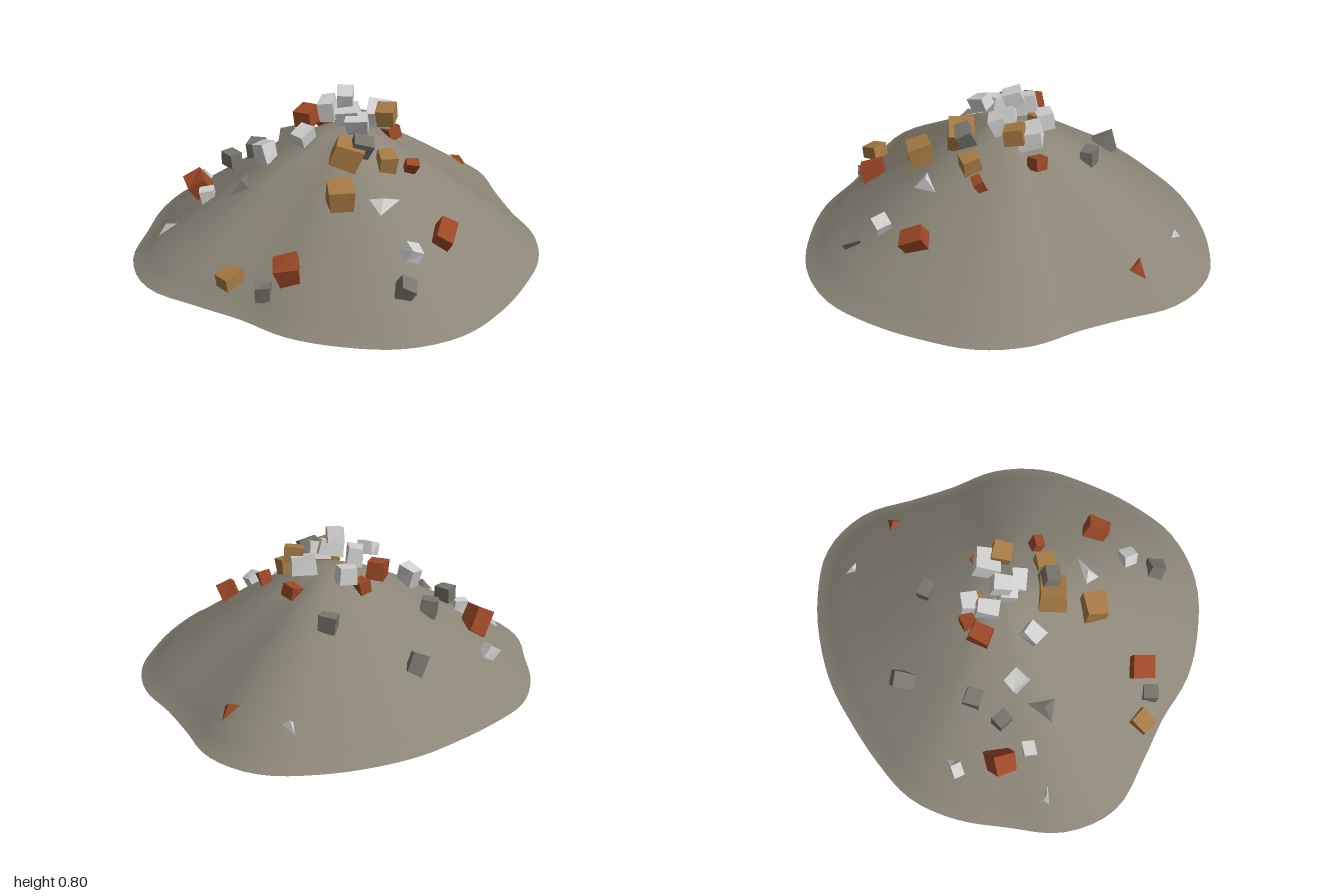
import * as THREE from 'three';
import { ConvexGeometry } from 'three/addons/geometries/ConvexGeometry.js';

const mat = (name, color) => {
  const m = new THREE.MeshStandardMaterial({ color });
  m.name = name;
  return m;
};
const spline = (values) => new THREE.SplineCurve(values.map((v, i) => new THREE.Vector2(i, v)));

// Footprint radius every 15 degrees, clockwise from the back
const RADII = [
  0.975, 1.025, 0.995, 0.902, 0.879, 0.936, 0.97, 0.979, 1.015, 1.064, 1.061, 1.015,
  0.975, 0.926, 0.967, 1.063, 1.06, 0.991, 0.975, 0.957, 0.904, 0.881, 0.898, 0.927,
];
// Padded at both ends so that the outline closes smoothly
const outline = spline([RADII.at(-1), ...RADII, RADII[0], RADII[1]]);
const radiusAt = (turn) => outline.getPoint((turn * 24 + 1) / 26).y;

// Height in even steps from peak to rim
const profile = spline([0.585, 0.565, 0.505, 0.434, 0.352, 0.266, 0.177, 0.088, 0]);
const heightAt = (x, z) => {
  const turn = (Math.atan2(x, -z) / (2 * Math.PI) + 1) % 1;
  return profile.getPoint(Math.min(1, Math.hypot(x, z) / radiusAt(turn))).y;
};

// Rings of the footprint, each scaled by t and set at height y, around a centre point
function ringGeometry(centreY, rings, up) {
  const n = 96, pos = [0, centreY, 0], idx = [];
  for (const { t, y } of rings) {
    for (let j = 0; j < n; j++) {
      const a = (j / n) * 2 * Math.PI, r = t * radiusAt(j / n);
      pos.push(r * Math.sin(a), y, -r * Math.cos(a));
    }
  }
  const at = (r, j) => 1 + r * n + (j % n);
  const face = (a, b, c) => (up ? idx.push(a, b, c) : idx.push(a, c, b));
  for (let j = 0; j < n; j++) {
    face(0, at(0, j + 1), at(0, j));
    for (let r = 0; r < rings.length - 1; r++) {
      face(at(r, j), at(r, j + 1), at(r + 1, j));
      face(at(r, j + 1), at(r + 1, j + 1), at(r + 1, j));
    }
  }
  const g = new THREE.BufferGeometry();
  g.setAttribute('position', new THREE.Float32BufferAttribute(pos, 3));
  g.setIndex(idx);
  g.computeVertexNormals();
  return g;
}

let seed = 7;
const rand = () => {
  seed = (seed * 16807) % 2147483647;
  return seed / 2147483647 - 0.5;
};

// Broken block: a box of uneven proportions whose eight corners are chipped a little
function chunkGeometry(size) {
  const dims = [0, 1, 2].map(() => size * (0.93 + rand() * 0.4));
  const corners = [];
  for (const x of [-0.5, 0.5]) for (const y of [-0.5, 0.5]) for (const z of [-0.5, 0.5]) {
    corners.push([x, y, z].map((c, i) => (c + rand() * 0.13) * dims[i]));
  }
  const g = new THREE.BoxGeometry(1, 1, 1).toNonIndexed();
  const p = g.attributes.position;
  for (let i = 0; i < p.count; i++) {
    const k = (p.getX(i) > 0 ? 4 : 0) + (p.getY(i) > 0 ? 2 : 0) + (p.getZ(i) > 0 ? 1 : 0);
    p.setXYZ(i, ...corners[k]);
  }
  g.computeVertexNormals();
  return g;
}

// Blocks by kind: x, z, size and, where piled up or perched, the height
const CHUNKS = {
  brick: [
    [-0.70, 0.16, 0.125, 0.245], [-0.21, -0.05, 0.095, 0.6], [-0.14, -0.13, 0.07],
    [0.19, -0.15, 0.075], [0.35, 0.1, 0.06, 0.47], [0.57, 0.36, 0.105], [-0.065, 0.73, 0.115],
  ],
  timber: [
    [-0.05, -0.1, 0.08, 0.6], [0.19, -0.04, 0.11, 0.66], [0.245, 0.16, 0.085],
    [0.075, 0.24, 0.125, 0.57], [0.1, 0.445, 0.11, 0.455], [-0.325, 0.795, 0.085, 0.15],
  ],
  concrete: [
    [-0.54, 0.13, 0.085, 0.405], [-0.46, -0.03, 0.095], [-0.415, -0.4, 0.095], [0, -0.37, 0.08],
    [0.14, 0.21, 0.085, 0.6], [0.475, 0.7, 0.075], [-0.16, 0.8, 0.07],
  ],
  plaster: [
    [-0.615, 0.28, 0.08], [-0.76, -0.05, 0.07], [-0.36, 0.16, 0.095, 0.48],
    [-0.155, 0.19, 0.085, 0.61], [-0.07, -0.14, 0.09, 0.6], [-0.1, -0.04, 0.1, 0.66],
    [0, 0, 0.1, 0.75], [0.02, 0.03, 0.1, 0.67], [0.075, 0.06, 0.095, 0.64],
    [0.14, -0.1, 0.105, 0.63], [0.47, 0.55, 0.07, 0.27],
  ],
};

// Splinters: kind, then the x, z corners of the foot
const SHARDS = [
  ['plaster', [0.35, 0.31], [0.22, 0.38], [0.29, 0.43]],
  ['concrete', [-0.43, 0.23], [-0.475, 0.36], [-0.375, 0.35]],
  ['plaster', [-0.82, 0.43], [-0.73, 0.4], [-0.81, 0.4]],
  ['brick', [0.38, -0.67], [0.46, -0.71], [0.455, -0.63]],
  ['plaster', [0.115, -0.84], [0.175, -0.8], [0.125, -0.79]],
];

// Splinter lying on the slope, with a low tip over the middle of its foot
function shardGeometry(foot) {
  const pts = foot.map(([x, z]) => new THREE.Vector3(x, heightAt(x, z) + 0.008, z));
  const tip = new THREE.Vector3();
  pts.forEach((p) => tip.addScaledVector(p, 1 / 3));
  tip.y += 0.035;
  return new ConvexGeometry([...pts, tip]);
}

export function createModel() {
  const earth = mat('earth grey', 0x8c8678);
  const mats = {
    brick: mat('brick red', 0x9c4826),
    timber: mat('timber tan', 0xa67a44),
    concrete: mat('concrete grey', 0x77746b),
    plaster: mat('plaster white', 0xcfd0ce),
  };
  const model = new THREE.Group();
  model.name = 'rubbleHeap';
  const debris = new THREE.Group();
  debris.name = 'debris';
  model.add(debris);
  const add = (parent, name, geometry, material) => {
    const mesh = new THREE.Mesh(geometry, material);
    mesh.name = name;
    parent.add(mesh);
    return mesh;
  };

  // Mound
  const slope = [];
  for (let i = 1; i <= 24; i++) slope.push({ t: i / 24, y: profile.getPoint(i / 24).y });
  add(model, 'moundSlope', ringGeometry(0.585, slope, true), earth);
  add(model, 'moundUnderside', ringGeometry(0, [{ t: 1, y: 0 }], false), earth);

  // Rubble
  for (const [kind, list] of Object.entries(CHUNKS)) {
    for (const [x, z, size, y = heightAt(x, z) + size * 0.28] of list) {
      const chunk = add(debris, kind + 'Chunk', chunkGeometry(size), mats[kind]);
      chunk.position.set(x, y, z);
      chunk.rotation.set(0.2 + rand() * 0.5, rand() * 1.4, rand() * 0.6 - x * 0.5, 'YXZ');
    }
  }
  for (const [kind, ...foot] of SHARDS) {
    add(debris, kind + 'Shard', shardGeometry(foot), mats[kind]);
  }
  return model;
}
